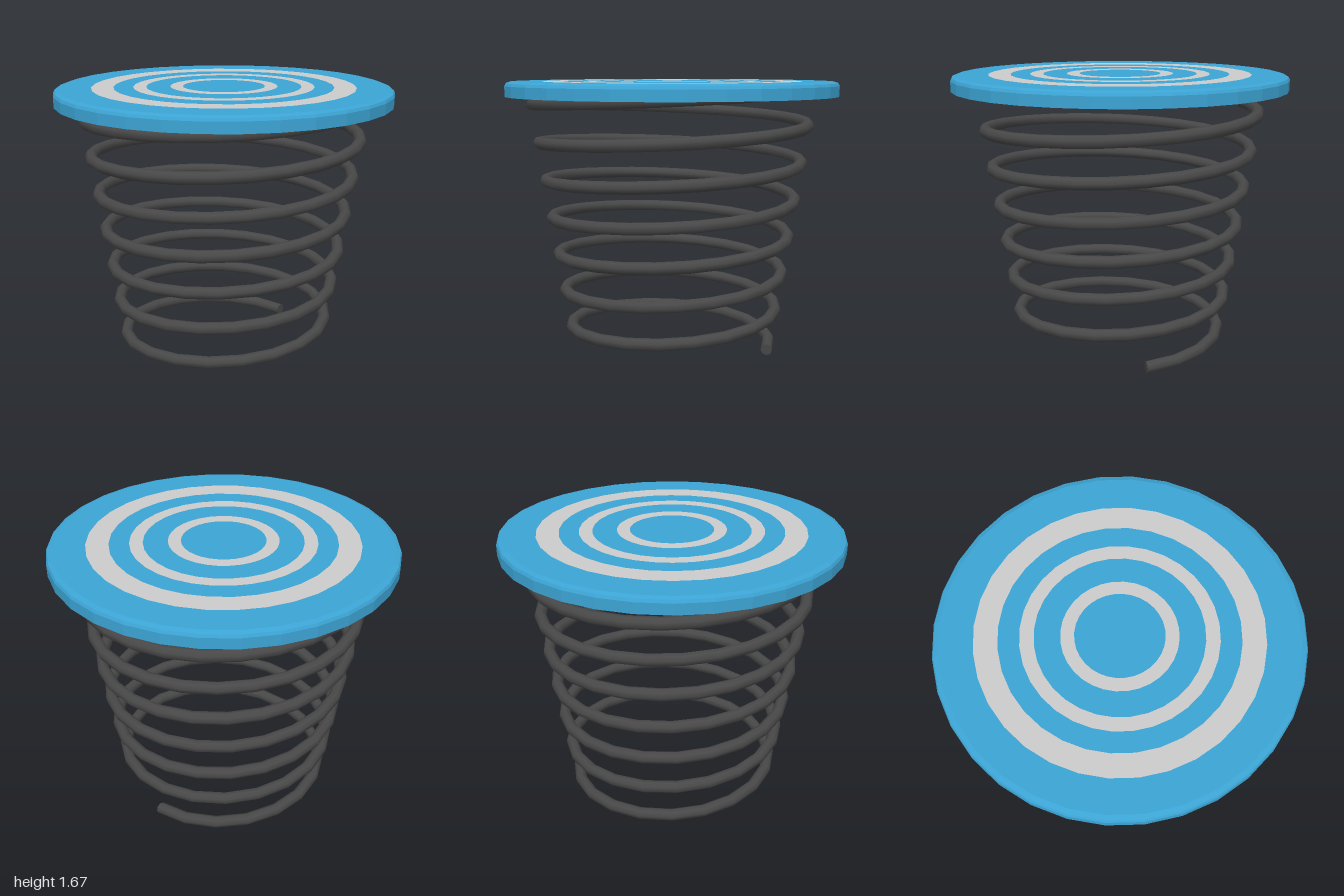
import * as THREE from 'three';

const SIDES = 32, TOP = 1.667, UNDER = 1.58;
const TURNS = 7, TUBE = 0.036;

// Conical helix: starts at +x, passes through -z, widens as it climbs
class SpringCurve extends THREE.Curve {
  getPoint(t, target = new THREE.Vector3()) {
    const a = t * TURNS * Math.PI * 2;
    const r = 0.61 + 0.245 * t;
    return target.set(r * Math.cos(a), 0.037 + 1.592 * t, -r * Math.sin(a));
  }
}

export function createModel() {
  const model = new THREE.Group();
  model.name = 'springPlatform';

  const blue = new THREE.MeshStandardMaterial({ color: 0x3ca4d4, flatShading: true });
  blue.name = 'plate blue';
  const grey = new THREE.MeshStandardMaterial({ color: 0xcccccc, flatShading: true });
  grey.name = 'ring grey';
  const dark = new THREE.MeshStandardMaterial({ color: 0x484848 });
  dark.name = 'spring dark grey';

  const add = (name, geometry, material, parent = model) => {
    const mesh = new THREE.Mesh(geometry, material);
    mesh.name = name;
    parent.add(mesh);
    return mesh;
  };

  // Coil spring with closed ends
  const spring = new THREE.Group();
  spring.name = 'spring';
  model.add(spring);
  const curve = new SpringCurve();
  add('coil', new THREE.TubeGeometry(curve, TURNS * 24, TUBE, 8, false), dark, spring);
  for (const t of [0, 1]) {
    const cap = add('coilEnd', new THREE.CircleGeometry(TUBE, 8), dark, spring);
    const p = curve.getPoint(t);
    cap.position.copy(p);
    cap.lookAt(p.clone().addScaledVector(curve.getTangent(t), t ? 1 : -1));
  }

  // Plate underside and rim with a rounded upper edge
  const rim = [[0, UNDER], [1, UNDER], [1, 1.642], [0.992, 1.658], [0.965, TOP]];
  add('plateRim', new THREE.LatheGeometry(rim.map(([x, y]) => new THREE.Vector2(x, y)), SIDES), blue);

  // Plate top: concentric bands in alternating colours
  const radii = [0, 0.243, 0.317, 0.458, 0.535, 0.65, 0.78, 0.965];
  for (let i = 0; i < radii.length - 1; i++) {
    const geometry = i === 0
      ? new THREE.CircleGeometry(radii[1], SIDES)
      : new THREE.RingGeometry(radii[i], radii[i + 1], SIDES);
    geometry.rotateX(-Math.PI / 2).translate(0, TOP, 0);
    add(i % 2 ? 'targetRing' : 'plateTop', geometry, i % 2 ? grey : blue);
  }

  return model;
}
